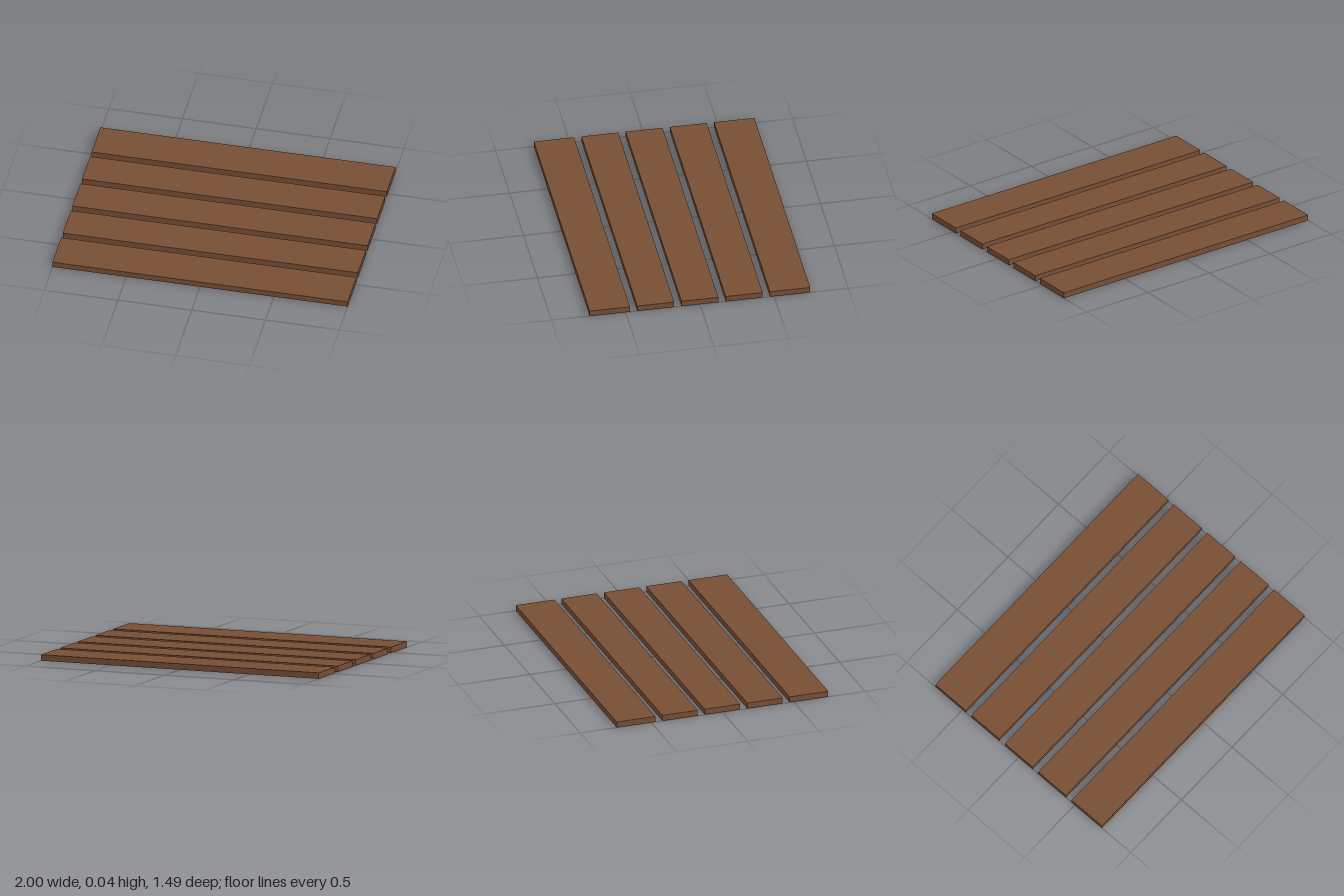
import * as THREE from 'three';

export function createModel() {
  const model = new THREE.Group();
  model.name = 'plankFloor';

  const wood = new THREE.MeshStandardMaterial({ color: 0x784e35 });
  wood.name = 'brown wood';

  const length = 2;
  const thickness = 0.04;

  function addPlank(name, z, width) {
    const plank = new THREE.Mesh(new THREE.BoxGeometry(length, thickness, width), wood);
    plank.name = name;
    plank.position.set(0, thickness / 2, z);
    model.add(plank);
  }

  // Middle plank
  addPlank('middlePlank', 0, 0.248);

  // Inner and slightly wider outer planks, mirrored front to back
  for (const [side, sign] of [['front', 1], ['back', -1]]) {
    addPlank(side + 'InnerPlank', sign * 0.298, 0.248);
    addPlank(side + 'OuterPlank', sign * 0.607, 0.271);
  }

  return model;
}
